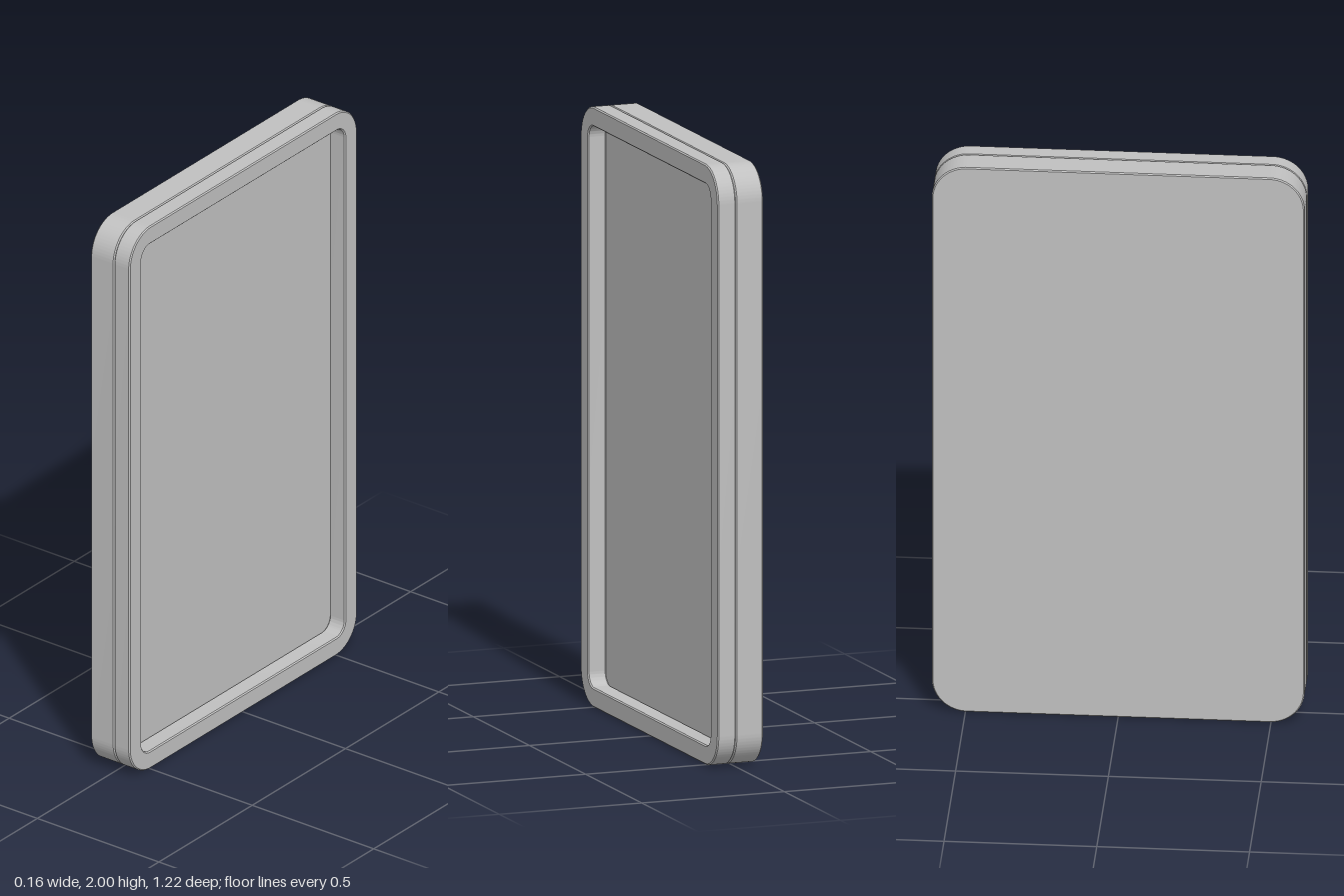
import * as THREE from 'three';
import { toCreasedNormals } from 'three/addons/utils/BufferGeometryUtils.js';

const BEVEL = 0.004;

// Trace a rounded rectangle centred on the origin
function roundedRect(path, w, h, r) {
  const x = w / 2, y = h / 2;
  path.moveTo(-x + r, -y);
  path.lineTo(x - r, -y);
  path.absarc(x - r, -y + r, r, -Math.PI / 2, 0);
  path.lineTo(x, y - r);
  path.absarc(x - r, y - r, r, 0, Math.PI / 2);
  path.lineTo(-x + r, y);
  path.absarc(-x + r, y - r, r, Math.PI / 2, Math.PI);
  path.lineTo(-x, -y + r);
  path.absarc(-x + r, -y + r, r, Math.PI, Math.PI * 1.5);
  return path;
}

// Extrude an upright outline along x, with small chamfers on its edges
function plate(name, shape, x0, x1, material) {
  const geometry = new THREE.ExtrudeGeometry(shape, {
    depth: x1 - x0 - 2 * BEVEL,
    curveSegments: 16,
    bevelEnabled: true,
    bevelThickness: BEVEL,
    bevelSize: BEVEL,
    bevelOffset: -BEVEL,
    bevelSegments: 1,
  });
  geometry.translate(0, 0, x0 + BEVEL);
  geometry.rotateY(Math.PI / 2);
  geometry.translate(0, 1, 0);
  const mesh = new THREE.Mesh(toCreasedNormals(geometry, 0.4), material);
  mesh.name = name;
  return mesh;
}

export function createModel() {
  const group = new THREE.Group();
  group.name = 'framedPanel';
  const grey = new THREE.MeshStandardMaterial({ color: 0xc0c0c0 });
  grey.name = 'light grey';

  // Solid back slab, whose face is the floor of the recess
  const slab = roundedRect(new THREE.Shape(), 1.22, 2, 0.115);
  group.add(plate('backPanel', slab, -0.08, 0.016, grey));

  // Open rim in front of the slab
  const rim = roundedRect(new THREE.Shape(), 1.22, 2, 0.115);
  rim.holes.push(roundedRect(new THREE.Path(), 1.09, 1.87, 0.045));
  group.add(plate('frontRim', rim, 0.016, 0.08, grey));

  return group;
}
